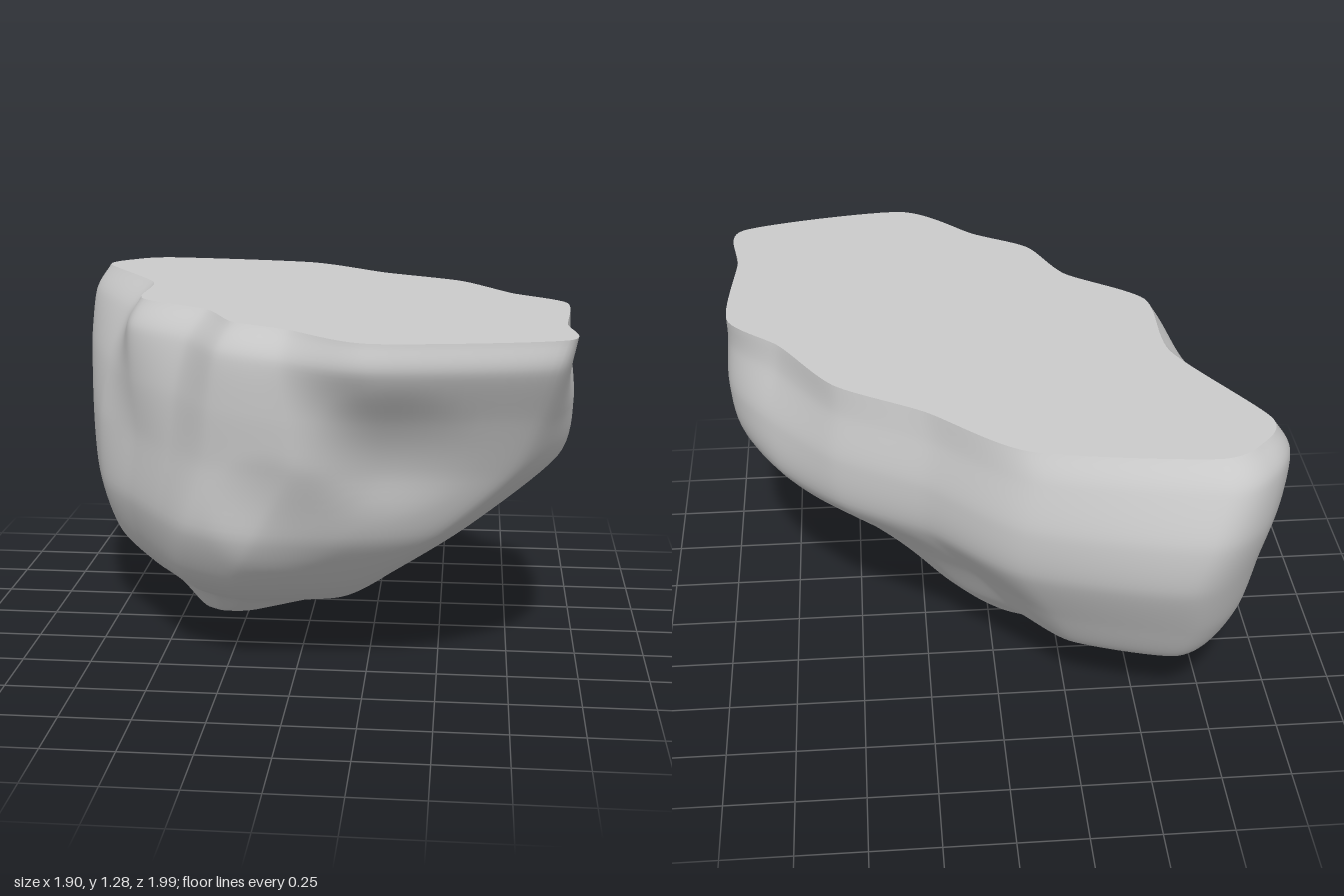
import * as THREE from 'three';

const TOP = 1.28, AROUND = 192, DOWN = 72;
const TIP = new THREE.Vector3(-0.34, 0, -0.09);

// Outlines of the cut top and of the belly: x, z pairs, clockwise from above, from the back corner
const RIM = [-0.66, -0.88, -0.07, -0.79, 0.25, -0.53, 0.55, -0.34, 0.74, -0.06, 0.93, 0.14, 0.91, 0.57,
  0.9, 0.86, 0.28, 0.98, 0, 0.76, -0.2, 0.63, -0.32, 0.4, -0.59, 0.18, -0.62, -0.2, -0.88, -0.65, -0.82, -0.8];
const BELLY = [-0.6, -0.97, -0.05, -0.82, 0.25, -0.55, 0.55, -0.36, 0.76, -0.14, 0.89, 0.12, 0.9, 0.45,
  0.74, 0.71, 0.3, 0.8, 0, 0.82, -0.3, 0.67, -0.45, 0.49, -0.61, 0.27, -0.8, 0, -0.93, -0.5, -0.82, -0.83];

// Extent of the rock at each height: y, left and right in x, back and front in z
const LEVELS = [
  [TOP, -0.88, 0.93, -0.88, 0.98],
  [1.18, -0.94, 0.93, -0.94, 0.99],
  [1, -0.95, 0.94, -0.99, 0.89],
  [0.8, -0.93, 0.9, -0.97, 0.82],
  [0.55, -0.9, 0.62, -0.86, 0.76],
  [0.35, -0.82, 0.37, -0.74, 0.6],
  [0.23, -0.68, 0.23, -0.53, 0.42],
  [0.12, -0.55, 0.05, -0.31, 0.12],
  [0.02, -0.43, -0.22, -0.14, -0.03],
];

// Blend from rim to belly going down, then fit the outline to the extent at that height
function outline([y, x0, x1, z0, z1]) {
  const { mapLinear, lerp } = THREE.MathUtils;
  const blend = Math.min((TOP - y) / 0.4, 1);
  const points = [];
  for (let i = 0; i < RIM.length; i += 2) {
    points.push(new THREE.Vector3(lerp(RIM[i], BELLY[i], blend), y, lerp(RIM[i + 1], BELLY[i + 1], blend)));
  }
  const { min, max } = new THREE.Box3().setFromPoints(points);
  for (const p of points) {
    p.x = mapLinear(p.x, min.x, max.x, x0, x1);
    p.z = mapLinear(p.z, min.z, max.z, z0, z1);
  }
  return new THREE.CatmullRomCurve3(points, true, 'catmullrom', 0.36);
}

// Shallow hollows worn into the sides: x, y, z, radius, depth
const HOLLOWS = [
  [0.36, 0.9, 0.84, 0.28, 0.03],
  [-0.05, 0.62, 0.78, 0.26, 0.03],
  [0.42, 0.42, -0.28, 0.42, 0.05],
  [0.4, 0.42, 0.2, 0.2, 0.03],
];

function wear(p) {
  for (const [x, y, z, radius, depth] of HOLLOWS) {
    const d = Math.min(Math.hypot(p.x - x, p.y - y, p.z - z) / radius, 1);
    const push = depth * (1 - d * d) ** 2 / Math.hypot(p.x, p.z);
    p.x -= push * p.x;
    p.z -= push * p.z;
  }
  return p;
}

function mesh(name, positions, index, material) {
  const geometry = new THREE.BufferGeometry();
  geometry.setAttribute('position', new THREE.Float32BufferAttribute(positions, 3));
  geometry.setIndex(index);
  geometry.computeVertexNormals();
  const m = new THREE.Mesh(geometry, material);
  m.name = name;
  return m;
}

export function createModel() {
  const group = new THREE.Group();
  group.name = 'rock';
  const material = new THREE.MeshStandardMaterial({ color: 0xcccccc });
  const curves = LEVELS.map(outline);

  // Rounded sides: smooth columns running down through the outlines to the tip
  const sides = [], sideIndex = [], rim = [];
  for (let j = 0; j < AROUND; j++) {
    const column = curves.map(c => c.getPoint(j / AROUND));
    const path = new THREE.CatmullRomCurve3([...column, TIP], false, 'catmullrom', 0.4);
    for (let i = 0; i <= DOWN; i++) {
      const p = wear(path.getPoint(i / DOWN));
      sides.push(p.x, p.y, p.z);
      if (i === 0) rim.push(p);
    }
    const a = j * (DOWN + 1), b = ((j + 1) % AROUND) * (DOWN + 1);
    for (let i = 0; i < DOWN; i++) {
      sideIndex.push(a + i, b + i, b + i + 1, a + i, b + i + 1, a + i + 1);
    }
  }
  group.add(mesh('rockSides', sides, sideIndex, material));

  // Flat cut top, following the upper rim
  const cap = [0, TOP, 0], capIndex = [];
  rim.forEach((p, j) => {
    cap.push(p.x, TOP, p.z);
    capIndex.push(0, (j + 1) % AROUND + 1, j + 1);
  });
  group.add(mesh('flatTop', cap, capIndex, material));
  return group;
}
